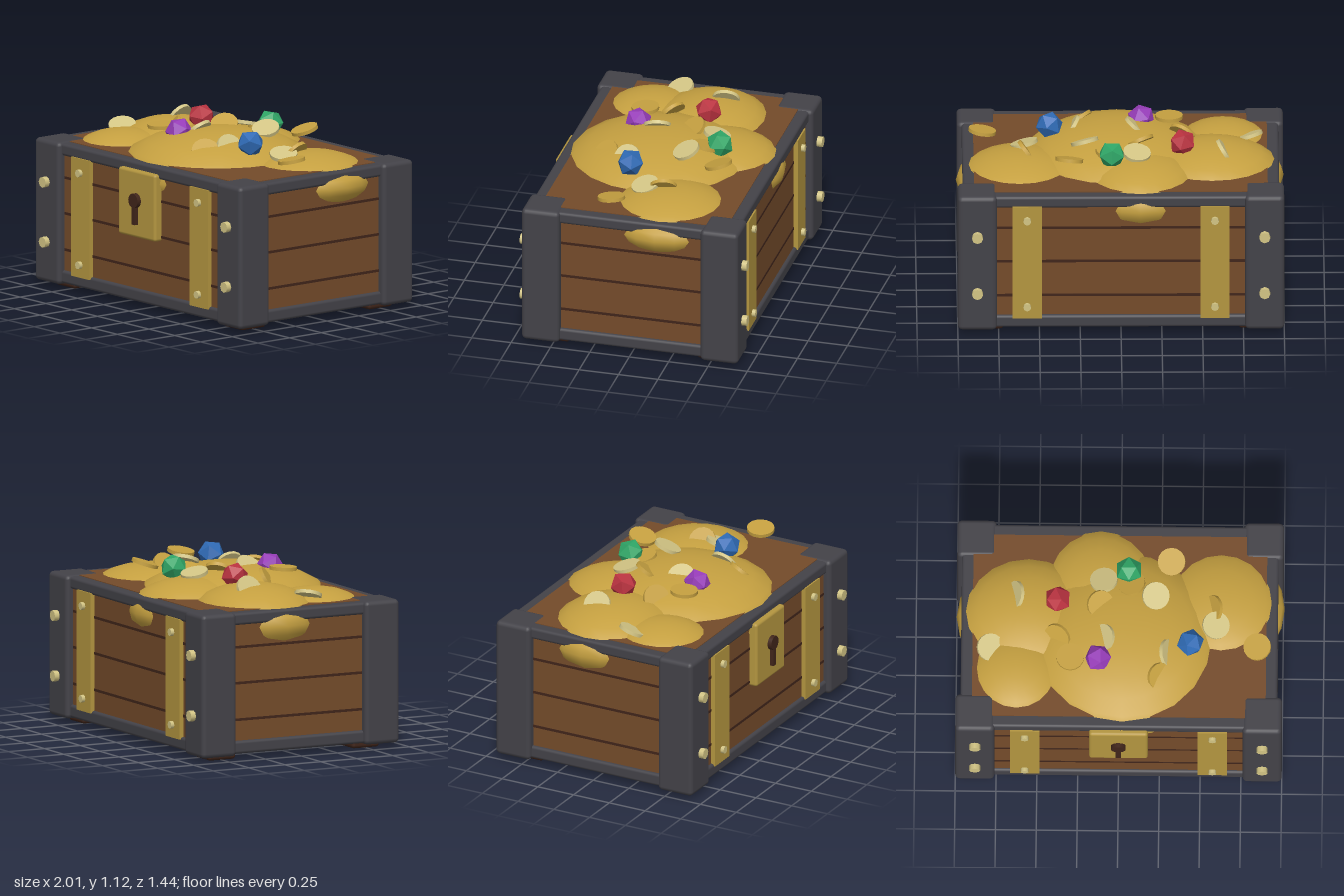
import * as THREE from 'three';
import { RoundedBoxGeometry } from 'three/addons/geometries/RoundedBoxGeometry.js';

function makeMaterial(name, color) {
  const m = new THREE.MeshStandardMaterial({ color });
  m.name = name;
  return m;
}

export function createModel() {
  const wood = makeMaterial('wood', 0x744b2a);
  const darkWood = makeMaterial('darkWood', 0x40251a);
  const iron = makeMaterial('iron', 0x434248);
  const brass = makeMaterial('brass', 0xb3953f);
  const gold = makeMaterial('gold', 0xc5a040);
  const paleGold = makeMaterial('paleGold', 0xd2c484);
  const ruby = makeMaterial('ruby', 0xb8323f);
  const amethyst = makeMaterial('amethyst', 0x963cb8);
  const emerald = makeMaterial('emerald', 0x2fa566);
  const sapphire = makeMaterial('sapphire', 0x2f6ab4);
  for (const m of [ruby, amethyst, emerald, sapphire]) m.flatShading = true;

  const model = new THREE.Group();
  model.name = 'treasureChest';

  function add(name, geometry, material, x, y, z) {
    const mesh = new THREE.Mesh(geometry, material);
    mesh.name = name;
    mesh.position.set(x, y, z);
    model.add(mesh);
    return mesh;
  }
  const box = (w, h, d) => new THREE.BoxGeometry(w, h, d);
  const rounded = (w, h, d, r) => new RoundedBoxGeometry(w, h, d, 2, r);

  // Wooden body with dark seams between the planks
  add('body', box(1.9, 0.8, 1.28), wood, 0, 0.48, 0);
  for (const y of [0.25, 0.477, 0.7]) {
    add('plankSeam', box(1.906, 0.016, 1.286), darkWood, 0, y, 0);
  }

  // Iron frame: bottom and top bands, wooden deck, corner posts
  add('bottomBand', rounded(1.94, 0.08, 1.32, 0.018), iron, 0, 0.08, 0);
  add('topBand', rounded(1.94, 0.075, 1.32, 0.018), iron, 0, 0.876, 0);
  add('deck', box(1.8, 0.008, 1.18), wood, 0, 0.914, 0);

  const bolt = (r, length) => new THREE.CylinderGeometry(r, r, length, 8).rotateX(Math.PI / 2);
  const postBolt = bolt(0.034, 0.06);
  const strapBolt = bolt(0.024, 0.04);
  for (const sx of [-1, 1]) {
    for (const sz of [-1, 1]) {
      add('cornerPost', rounded(0.24, 0.89, 0.24, 0.028), iron, sx * 0.88, 0.476, sz * 0.567);
      add('foot', rounded(0.19, 0.08, 0.19, 0.02), darkWood, sx * 0.815, 0.04, sz * 0.5);
      for (const y of [0.285, 0.66]) {
        add('postBolt', postBolt, paleGold, sx * 0.88, y, sz * 0.69);
      }
      // Brass straps on front and back
      add('strap', box(0.18, 0.745, 0.04), brass, sx * 0.575, 0.477, sz * 0.648);
      for (const y of [0.185, 0.76]) {
        add('strapBolt', strapBolt, paleGold, sx * 0.575, y, sz * 0.67);
      }
    }
  }

  // Lock plate with raised keyhole
  add('lockPlate', rounded(0.36, 0.42, 0.07, 0.018), brass, 0, 0.66, 0.658);
  add('keyholeTop', new THREE.CylinderGeometry(0.045, 0.045, 0.04, 16).rotateX(Math.PI / 2),
    darkWood, 0, 0.685, 0.7);
  add('keyholeSlot', box(0.032, 0.13, 0.04), darkWood, 0, 0.6, 0.699);

  // Heaps of gold: centre x, y, z then radii
  const heaps = [
    [0.02, 0.81, 0.07, 0.61, 0.25, 0.61],
    [-0.56, 0.81, -0.09, 0.44, 0.21, 0.4],
    [0.62, 0.81, -0.16, 0.39, 0.175, 0.4],
    [-0.12, 0.81, -0.27, 0.38, 0.2, 0.41],
    [-0.63, 0.82, 0.28, 0.31, 0.16, 0.33],
    [-0.09, 0.82, 0.41, 0.24, 0.15, 0.25],
  ];
  const heapGeometry = new THREE.SphereGeometry(1, 20, 12);
  for (const [x, y, z, rx, ry, rz] of heaps) {
    add('goldHeap', heapGeometry, gold, x, y, z).scale.set(rx, ry, rz);
  }

  // Scattered coins: position, tilt about x, tilt about z, material
  const coins = [
    [0.315, 1.04, -0.38, 0.3, 0.1, gold],
    [-0.3, 1.05, 0.25, 0.05, 0, gold],
    [0.845, 1.0, 0.155, 0.1, 0.15, gold],
    [0.07, 1.03, -0.24, -0.2, 0.2, gold],
    [-0.12, 1.04, -0.1, 0.5, -0.4, gold],
    [-0.38, 1.0, 0.1, 0.9, 0.5, gold],
    [0.57, 0.97, -0.1, 0.3, 0.9, gold],
    [0.25, 0.99, 0.35, 0.5, -0.6, gold],
    [-0.1, 1.03, -0.26, -0.25, 0.1, paleGold],
    [0.22, 1.06, -0.15, 0.35, -0.25, paleGold],
    [0.59, 0.98, 0.01, 0.2, -0.25, paleGold],
    [-0.79, 0.96, 0.16, 0.3, -0.3, paleGold],
    [-0.64, 1.0, -0.17, 0.2, 1.0, paleGold],
    [-0.1, 1.04, 0.12, 0.2, 0.7, paleGold],
    [0.3, 1.0, 0.2, 0.2, -1.0, paleGold],
  ];
  const coinGeometry = new THREE.CylinderGeometry(0.085, 0.085, 0.022, 16);
  for (const [x, y, z, tx, tz, material] of coins) {
    add('coin', coinGeometry, material, x, y, z).rotation.set(tx, 0, tz);
  }

  // Cut gems
  const gems = [
    ['ruby', ruby, -0.38, 1.04, -0.13],
    ['amethyst', amethyst, -0.13, 1.04, 0.25],
    ['emerald', emerald, 0.055, 1.045, -0.32],
    ['sapphire', sapphire, 0.435, 1.04, 0.145],
  ];
  const gemGeometry = new THREE.IcosahedronGeometry(0.086, 0);
  gems.forEach(([name, material, x, y, z], i) => {
    add(name, gemGeometry, material, x, y, z).rotation.set(0.4 + i * 0.5, i * 0.8, 0.3);
  });

  return model;
}
